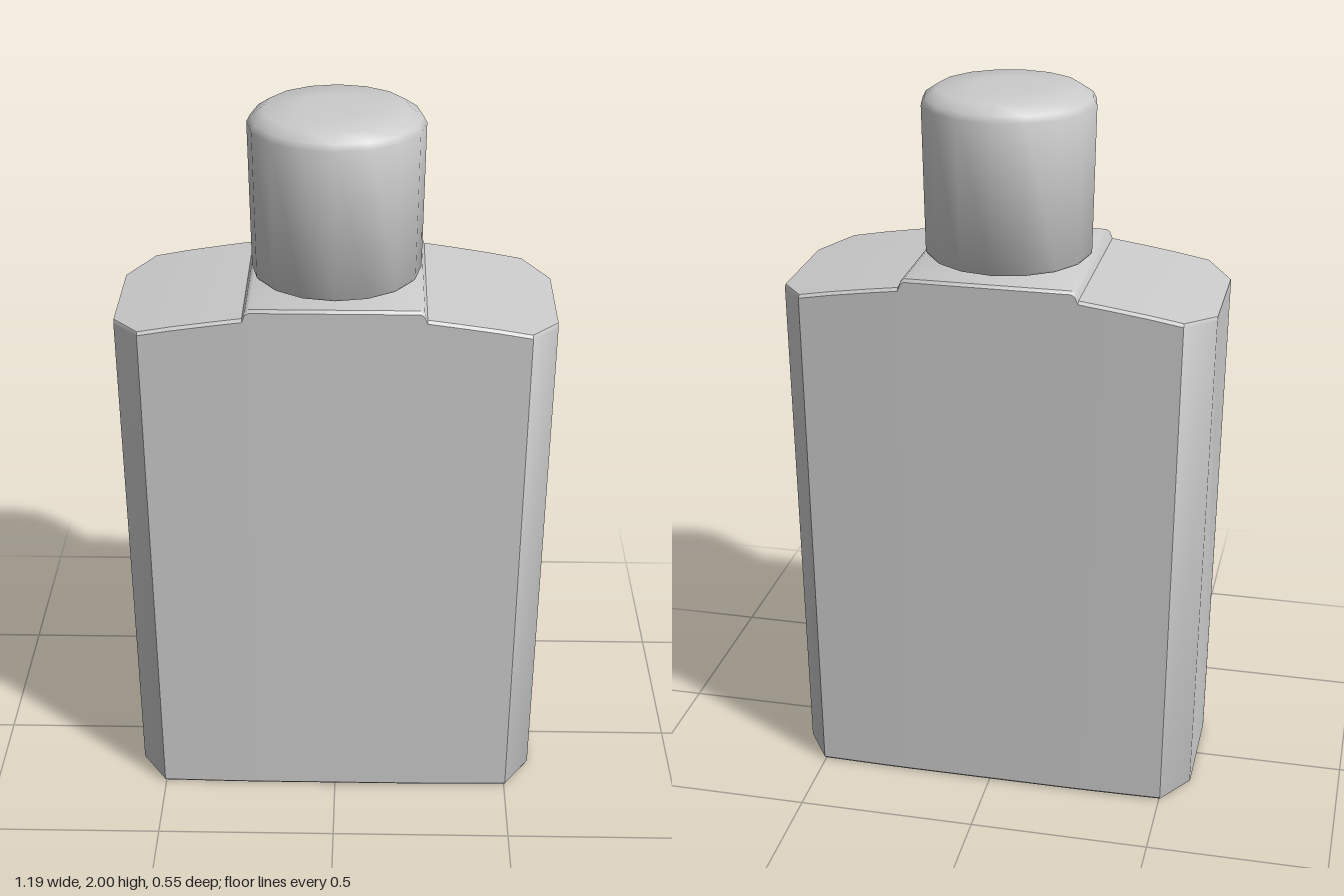
import * as THREE from 'three';
import { toCreasedNormals } from 'three/addons/utils/BufferGeometryUtils.js';

const material = new THREE.MeshStandardMaterial({ color: 0xcccccc });

function part(name, geometry, crease) {
  const mesh = new THREE.Mesh(toCreasedNormals(geometry, crease), material);
  mesh.name = name;
  return mesh;
}

// Flat bottle: rounded-off rectangles strung along x, chamfered at both sides
function bodyGeometry() {
  // [x, half depth, top height], mirrored to the other side
  const half = [
    [0.225, 0.273, 1.533], [0.235, 0.273, 1.526], [0.243, 0.273, 1.507],
    [0.33, 0.272, 1.495], [0.43, 0.27, 1.48], [0.52, 0.268, 1.464], [0.595, 0.157, 1.45],
  ];
  const stations = [...half.map(([x, d, t]) => [-x, d, t]).reverse(), ...half];
  const bevel = 0.008, n = 8;
  const positions = [], index = [];

  for (const [x, d, t] of stations) {
    const side = [[d - bevel, 0], [d, bevel], [d, t - bevel], [d - bevel, t]];
    const loop = [...side, ...side.map(([z, y]) => [-z, y]).reverse()];
    for (const [z, y] of loop) {
      const taper = 0.967 + 0.033 * Math.min(1, y / 1.44); // slightly narrower base
      positions.push(x * taper, y, z);
    }
  }
  for (let i = 0; i < stations.length - 1; i++) {
    for (let j = 0; j < n; j++) {
      const k = (j + 1) % n;
      const a = i * n + j, b = a + n, c = (i + 1) * n + k, d = i * n + k;
      index.push(a, b, c, a, c, d);
    }
  }
  // side end faces
  const last = (stations.length - 1) * n;
  for (let j = 1; j < n - 1; j++) {
    index.push(0, j, j + 1, last, last + j + 1, last + j);
  }
  const geometry = new THREE.BufferGeometry();
  geometry.setAttribute('position', new THREE.Float32BufferAttribute(positions, 3));
  geometry.setIndex(index);
  return geometry;
}

// Faceted cap with a bevelled, very slightly domed top
function capGeometry() {
  const profile = [
    [0, 1.542], [0.224, 1.542], [0.23, 1.55], [0.237, 1.955],
    [0.228, 1.972], [0.195, 1.994], [0.1, 1.999], [0, 2],
  ].map(([r, y]) => new THREE.Vector2(r, y));
  return new THREE.LatheGeometry(profile, 16).translate(0, 0, 0.004);
}

export function createModel() {
  const group = new THREE.Group();
  group.name = 'bottle';
  group.add(part('body', bodyGeometry(), 0.7));
  group.add(part('cap', capGeometry(), 0.9));
  return group;
}
